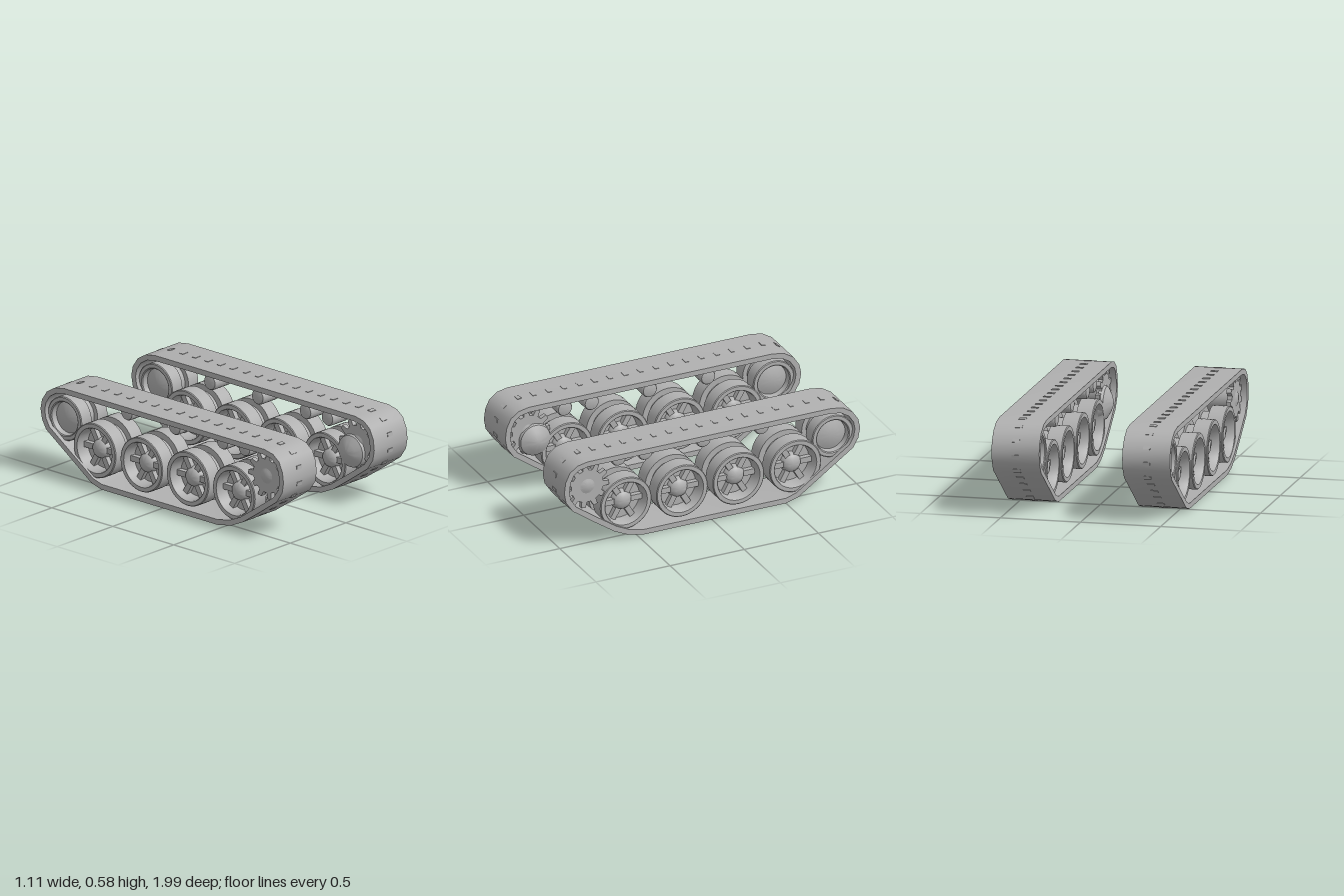
import * as THREE from 'three';
import { toCreasedNormals } from 'three/addons/utils/BufferGeometryUtils.js';

const steel = new THREE.MeshStandardMaterial({ color: 0xb0b0b0 });
steel.name = 'steel grey';

const CENTER = 0.408, HALF = 0.149, BELT = 0.034;

// outer belt outline as (z, y), clockwise from the top front
const OUTLINE = [
  [0.84, 0.583], [0.91, 0.568], [0.96, 0.53], [0.988, 0.47], [0.997, 0.4], [0.985, 0.335],
  [0.94, 0.268], [0.8, 0.168], [0.66, 0.072], [0.57, 0.03], [0.46, 0.007],
  [-0.5, 0.007], [-0.58, 0.03], [-0.71, 0.12], [-0.95, 0.285], [-0.985, 0.345], [-0.997, 0.41],
  [-0.985, 0.47], [-0.945, 0.53], [-0.88, 0.57], [-0.8, 0.583],
].map(([z, y]) => new THREE.Vector2(z, y));

function part(parent, name, geometry, x = 0, y = 0, z = 0) {
  const mesh = new THREE.Mesh(geometry, steel);
  mesh.name = name;
  mesh.position.set(x, y, z);
  parent.add(mesh);
  return mesh;
}

// extrude a (z, y) shape along x, centred on x = 0
function slab(shape, width) {
  const g = new THREE.ExtrudeGeometry(shape, { depth: width, bevelEnabled: false, curveSegments: 24 });
  g.translate(0, 0, -width / 2);
  g.rotateY(-Math.PI / 2);
  return toCreasedNormals(g, 0.6);
}

// lathe a (radius, offset) profile around the x axis
function turned(profile, segments = 40) {
  const g = new THREE.LatheGeometry(profile.map(([r, a]) => new THREE.Vector2(r, a)), segments);
  g.rotateZ(-Math.PI / 2);
  return toCreasedNormals(g, 0.6);
}

// complete a half profile, given from the axis outwards, with its mirror image
const mirrored = half => [...half.map(([r, a]) => [r, -a]), ...half.slice().reverse()];

// move every outline point inwards along its corner bisector
function inset(points, d) {
  return points.map((p, i) => {
    const a = points[(i + points.length - 1) % points.length];
    const b = points[(i + 1) % points.length];
    const u = p.clone().sub(a).normalize(), v = b.clone().sub(p).normalize();
    const n = new THREE.Vector2(u.y + v.y, -u.x - v.x).normalize();
    return p.clone().addScaledVector(n, d / (n.x * u.y - n.y * u.x));
  });
}

function addBelt(side) {
  const shape = new THREE.Shape(OUTLINE);
  // the hole runs the opposite way round so that its wall faces inwards
  shape.holes.push(new THREE.Path(inset(OUTLINE, BELT).reverse()));
  part(side, 'trackBelt', slab(shape, HALF * 2));

  // small link pads along the middle of the belt
  const loop = new THREE.Path([...OUTLINE, OUTLINE[0]]);
  const pad = new THREE.BoxGeometry(0.045, 0.01, 0.026);
  const count = 44;
  for (let i = 0; i < count; i++) {
    const p = loop.getPointAt(i / count), t = loop.getTangentAt(i / count);
    part(side, 'linkPad', pad, 0, p.y - t.x * 0.002, p.x + t.y * 0.002).rotation.x = -Math.atan2(t.y, t.x);
  }
}

function addRoadWheel(side, z) {
  const wheel = new THREE.Group();
  wheel.name = 'roadWheel';
  wheel.position.set(0, 0.234, z);
  side.add(wheel);
  // twin rims with a centre groove, recessed web and domed hub
  part(wheel, 'wheelBody', turned(mirrored([
    [0, 0.108], [0.03, 0.104], [0.052, 0.092], [0.064, 0.07], [0.066, 0.05], [0.128, 0.05],
    [0.138, 0.126], [0.143, 0.132], [0.168, 0.132], [0.173, 0.127], [0.173, 0.028], [0.135, 0.028],
  ])));
  const spoke = new THREE.BoxGeometry(0.036, 0.09, 0.036);
  for (const face of [-1, 1]) {
    for (let i = 0; i < 6; i++) {
      const a = ((i + 0.5) / 6) * Math.PI * 2;
      part(wheel, 'wheelSpoke', spoke, face * 0.064, Math.cos(a) * 0.09, Math.sin(a) * 0.09).rotation.x = a;
    }
  }
}

function addSprocket(side, s) {
  const sprocket = new THREE.Group();
  sprocket.name = 'driveSprocket';
  sprocket.position.set(0, 0.4, 0.825);
  side.add(sprocket);
  // toothed discs
  const teeth = 11, pts = [];
  for (let i = 0; i < teeth; i++) {
    for (const [f, r] of [[0, 0.108], [0.28, 0.108], [0.4, 0.147], [0.72, 0.147], [0.88, 0.108]]) {
      const a = ((i + f) / teeth) * Math.PI * 2;
      pts.push(new THREE.Vector2(Math.cos(a) * r, Math.sin(a) * r));
    }
  }
  const disc = slab(new THREE.Shape(pts), 0.03);
  for (const x of [-0.1, 0.1]) part(sprocket, 'toothedDisc', disc, x);
  part(sprocket, 'sprocketHub', turned(mirrored([
    [0, 0.126], [0.035, 0.122], [0.05, 0.114], [0.085, 0.11], [0.085, 0.05],
  ])));
  // final drive cover bulging towards the hull
  const cover = part(sprocket, 'driveCover', turned([
    [0, 0.1], [0.11, 0.1], [0.1, 0.132], [0.06, 0.156], [0.025, 0.17], [0, 0.172],
  ]), 0, -0.06, -0.04);
  if (s > 0) cover.rotation.y = Math.PI;
}

function addIdler(side) {
  part(side, 'rearIdler', turned(mirrored([
    [0, 0.1], [0.05, 0.098], [0.085, 0.085], [0.1, 0.08], [0.106, 0.115], [0.112, 0.12],
    [0.134, 0.12], [0.139, 0.115], [0.139, 0.028], [0.11, 0.028],
  ])), 0, 0.375, -0.828);
}

export function createModel() {
  const model = new THREE.Group();
  model.name = 'trackPair';
  for (const s of [-1, 1]) {
    const side = new THREE.Group();
    side.name = s > 0 ? 'leftTrack' : 'rightTrack';
    side.position.x = s * CENTER;
    model.add(side);
    addBelt(side);
    for (const z of [0.572, 0.193, -0.187, -0.57]) addRoadWheel(side, z);
    // short return rollers under the top run, set towards the hull
    const roller = turned(mirrored([[0, 0.08], [0.03, 0.08], [0.045, 0.075], [0.05, 0.067]]), 24);
    for (const z of [0.575, 0.395, 0.003, -0.39]) part(side, 'returnRoller', roller, s * -0.035, 0.497, z);
    addSprocket(side, s);
    addIdler(side);
  }
  return model;
}
